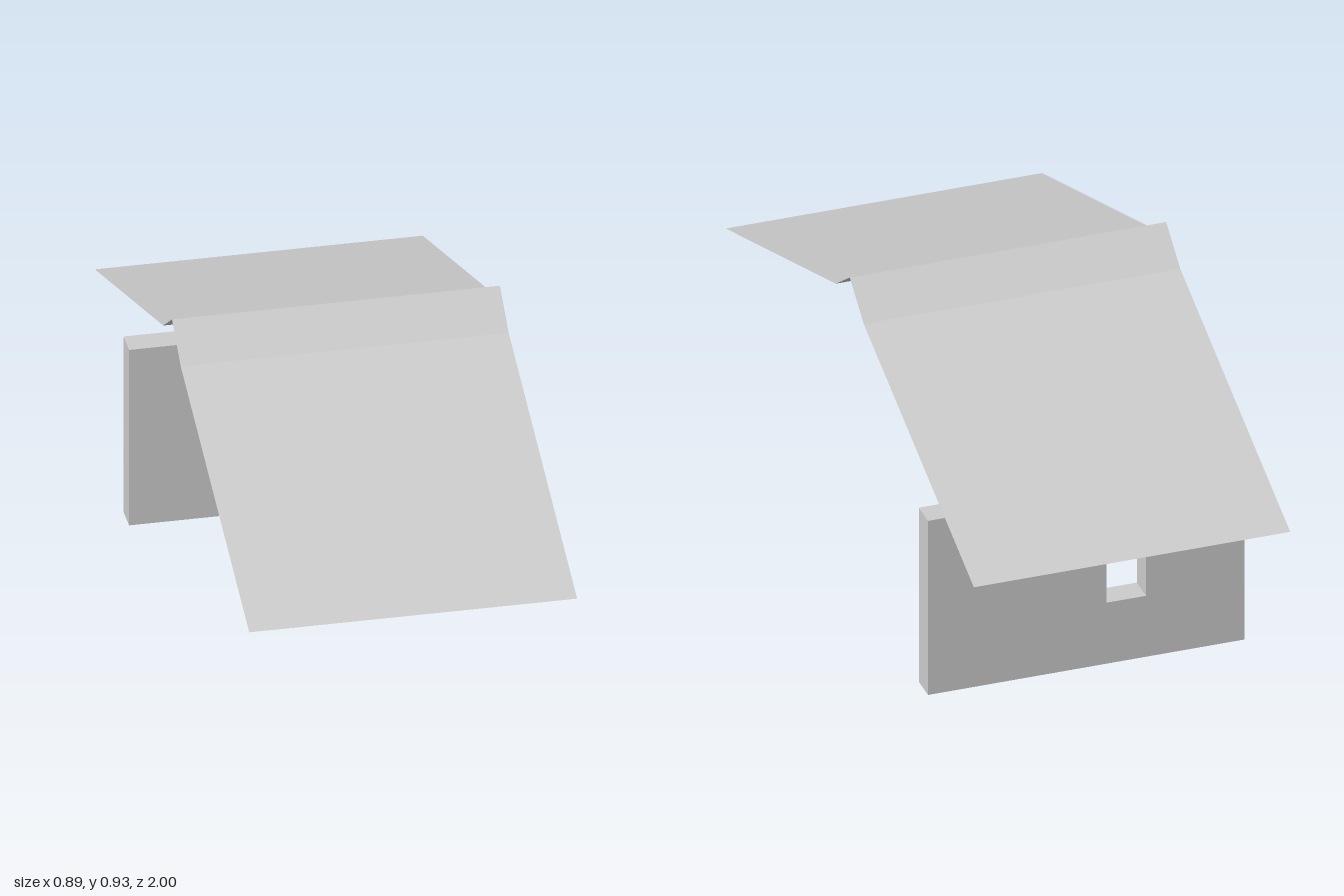
import * as THREE from 'three';

const HALF = 0.444; // half of the building's width

// Flat rectangular sheet spanning the full width between two (y, z) edges, facing up
function sheet(name, [yLow, zLow], [yHigh, zHigh], material) {
  const a = zLow > 0 ? -HALF : HALF;
  const geometry = new THREE.BufferGeometry();
  geometry.setAttribute('position', new THREE.Float32BufferAttribute([
    a, yLow, zLow, -a, yLow, zLow, -a, yHigh, zHigh, a, yHigh, zHigh,
  ], 3));
  geometry.setIndex([0, 1, 2, 0, 2, 3]);
  geometry.computeVertexNormals();
  const mesh = new THREE.Mesh(geometry, material);
  mesh.name = name;
  return mesh;
}

export function createModel() {
  const model = new THREE.Group();
  model.name = 'roofAndWall';
  const plaster = new THREE.MeshStandardMaterial({ color: 0xcccccc, side: THREE.DoubleSide });
  plaster.name = 'light grey';

  // Gable roof: a long slope and a steeper ridge strip on each side
  const roof = new THREE.Group();
  roof.name = 'roof';
  for (const [side, s] of [['front', 1], ['back', -1]]) {
    roof.add(sheet(side + 'Slope', [0.534, s], [0.853, 0.113 * s], plaster));
    roof.add(sheet(side + 'RidgeStrip', [0.853, 0.113 * s], [0.934, 0], plaster));
  }
  model.add(roof);

  // Back wall with a window opening
  const outline = new THREE.Shape([
    new THREE.Vector2(-HALF, 0), new THREE.Vector2(HALF, 0),
    new THREE.Vector2(HALF, 0.534), new THREE.Vector2(-HALF, 0.534),
  ]);
  outline.holes.push(new THREE.Path([
    new THREE.Vector2(-0.168, 0.187), new THREE.Vector2(-0.168, 0.401),
    new THREE.Vector2(-0.057, 0.401), new THREE.Vector2(-0.057, 0.187),
  ]));
  const wall = new THREE.Mesh(
    new THREE.ExtrudeGeometry(outline, { depth: 0.074, bevelEnabled: false }), plaster);
  wall.name = 'backWall';
  wall.position.z = -0.63;
  model.add(wall);

  return model;
}
